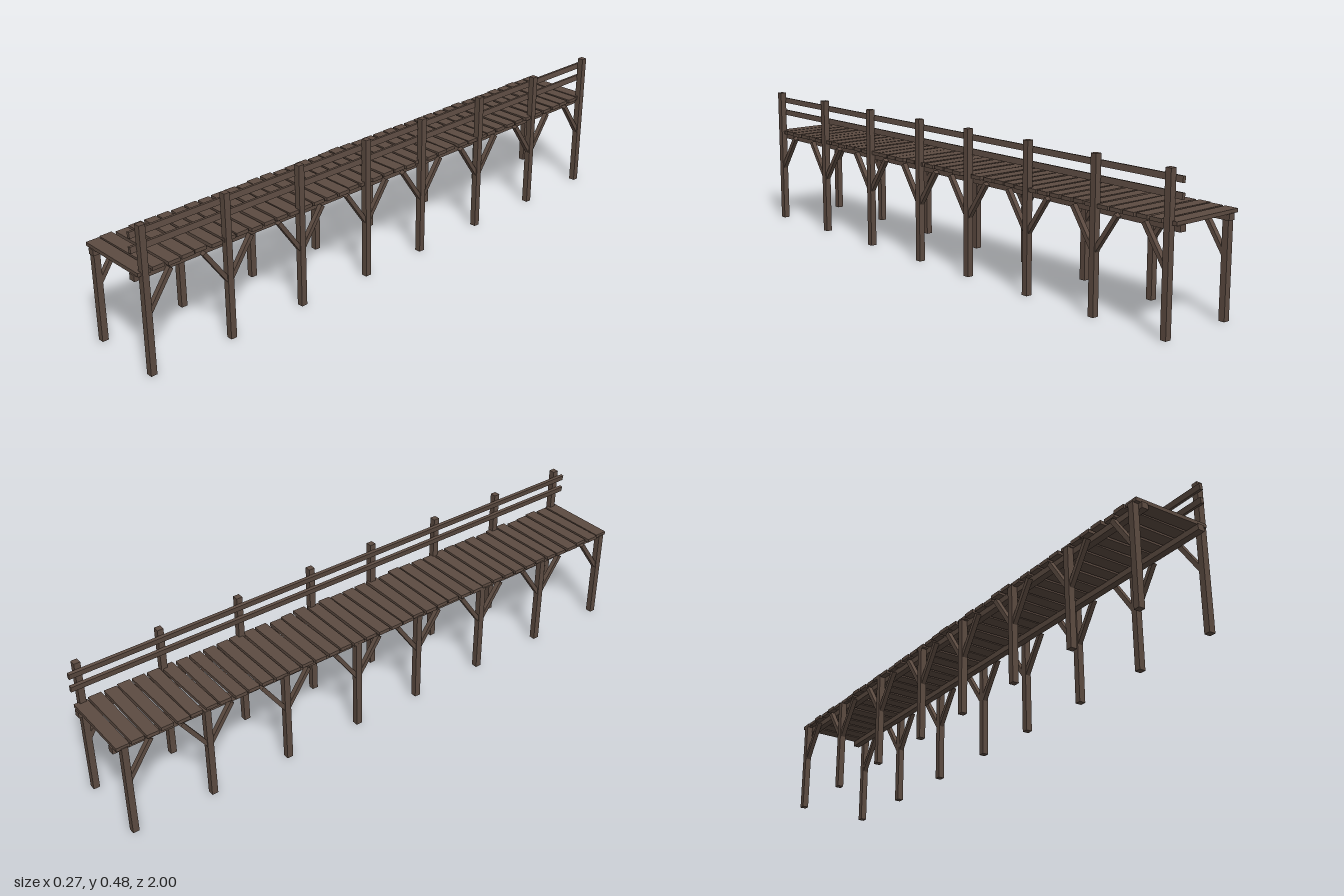
import * as THREE from 'three';

export function createModel() {
  const model = new THREE.Group();
  const wood = new THREE.MeshStandardMaterial({ color: 0x5c4b41 });
  wood.name = 'dark brown wood';

  // Small seeded generator giving values from -1 to 1
  let seed = 7;
  const jitter = () => {
    seed = (seed * 16807) % 2147483647;
    return (seed / 2147483647) * 2 - 1;
  };

  const beam = (name, size, position, rotation = [0, 0, 0]) => {
    const mesh = new THREE.Mesh(new THREE.BoxGeometry(...size), wood);
    mesh.name = name;
    mesh.position.set(...position);
    mesh.rotation.set(...rotation);
    model.add(mesh);
    return mesh;
  };

  // Posts: tall on the railing side, stopping under the deck on the other
  const postZ = [0.97, 0.68, 0.4, 0.123, -0.127, -0.405, -0.688, -0.965];
  postZ.forEach((z, i) => {
    beam('railingPost', [0.021, 0.483, 0.021], [0.126, 0.2415, z]);
    beam('shortPost', [0.021, 0.326, 0.021], [-0.124, 0.166, z]);

    // Diagonal braces, only pointing inward at the two ends
    for (const dir of [-1, 1]) {
      if ((i === 0 && dir > 0) || (i === postZ.length - 1 && dir < 0)) continue;
      const run = 0.08, rise = 0.115;
      for (const x of [-0.123, 0.125]) {
        beam('brace', [0.016, Math.hypot(run, rise) + 0.008, 0.014],
          [x, 0.257, z + dir * (run / 2 + 0.005)], [dir * Math.atan2(run, rise), 0, 0]);
      }
    }
  });

  // Long beams carrying the deck, just inside the posts
  beam('leftStringer', [0.023, 0.02, 1.99], [0.103, 0.317, 0]);
  beam('rightStringer', [0.023, 0.02, 1.99], [-0.103, 0.317, 0]);

  // Deck planks, slightly uneven
  const count = 40, pitch = 1.99 / count;
  for (let i = 0; i < count; i++) {
    const z = -0.995 + pitch * (i + 0.5);
    beam('deckPlank', [0.262 + 0.004 * jitter(), 0.012, 0.042 + 0.002 * jitter()],
      [-0.002 + 0.004 * jitter(), 0.332 + 0.0008 * jitter(), z + 0.001 * jitter()],
      [0, 0.016 * jitter(), 0]);
  }

  // Two handrails on the inner face of the tall posts
  for (const y of [0.407, 0.453]) {
    beam('handrail', [0.011, 0.019, 2], [0.111, y, 0], [0, 0, 0.15]);
  }

  return model;
}
